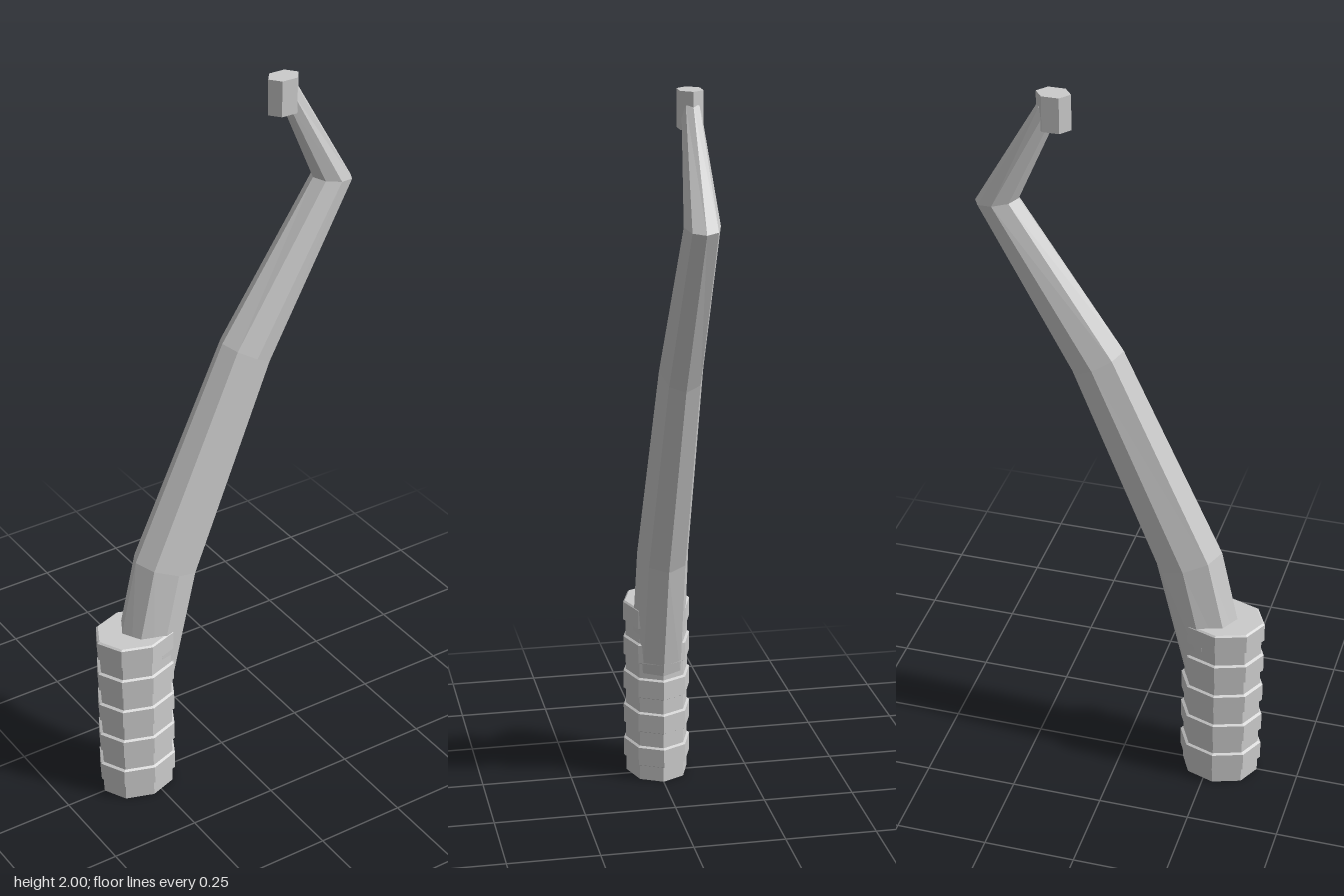
import * as THREE from 'three';

const material = new THREE.MeshStandardMaterial({ color: 0xcccccc, flatShading: true });

function addPart(group, name, geometry) {
  const mesh = new THREE.Mesh(geometry, material);
  mesh.name = name;
  group.add(mesh);
  return mesh;
}

// Closed eight-sided tube through elliptical sections { x, y, hx, hy, rz }:
// (hx, hy) is the half-axis in the xy plane, rz the half-axis along z.
function loft(sections, sides = 8) {
  const positions = [];
  const index = [];
  for (const s of sections) {
    for (let j = 0; j < sides; j++) {
      const a = (j / sides) * Math.PI * 2;
      positions.push(s.x + s.hx * Math.cos(a), s.y + s.hy * Math.cos(a), s.rz * Math.sin(a));
    }
  }
  for (let i = 0; i < sections.length - 1; i++) {
    for (let j = 0; j < sides; j++) {
      const a = i * sides + j;
      const b = i * sides + ((j + 1) % sides);
      index.push(a, a + sides, b + sides, a, b + sides, b);
    }
  }
  const top = (sections.length - 1) * sides;
  for (let j = 1; j < sides - 1; j++) {
    index.push(0, j, j + 1, top, top + j + 1, top + j);
  }
  const geometry = new THREE.BufferGeometry();
  geometry.setAttribute('position', new THREE.Float32BufferAttribute(positions, 3));
  geometry.setIndex(index);
  geometry.computeVertexNormals();
  return geometry;
}

export function createModel() {
  const group = new THREE.Group();
  group.name = 'bowLimb';

  // Grip wrapped in alternating narrow and wide bands
  const bands = 5;
  const pitch = 0.51 / bands;
  const profile = [new THREE.Vector2(0, 0)];
  for (let i = 0; i < bands; i++) {
    const y = i * pitch;
    profile.push(
      new THREE.Vector2(0.107, y),
      new THREE.Vector2(0.107, y + 0.042),
      new THREE.Vector2(0.115, y + 0.046),
      new THREE.Vector2(0.115, y + pitch - 0.004)
    );
  }
  profile.push(new THREE.Vector2(0.109, 0.51), new THREE.Vector2(0, 0.51));
  const grip = addPart(group, 'grip', new THREE.LatheGeometry(profile, 8));
  grip.scale.z = 0.815;
  grip.position.x = -0.278;

  // Curved limb, tapering to the elbow and bending back to the tip
  addPart(group, 'limb', loft([
    { x: -0.265, y: 0.32, hx: 0.092, hy: -0.01, rz: 0.075 },
    { x: -0.18, y: 0.685, hx: 0.09, hy: -0.035, rz: 0.071 },
    { x: 0.072, y: 1.26, hx: 0.07, hy: -0.04, rz: 0.058 },
    { x: 0.333, y: 1.69, hx: 0.058, hy: -0.01, rz: 0.046 },
    { x: 0.195, y: 1.955, hx: 0.026, hy: 0.014, rz: 0.024 }
  ]));

  // Hexagonal nock at the tip
  const nock = new THREE.CylinderGeometry(0.045, 0.045, 0.095, 6);
  nock.rotateY(Math.PI / 2);
  nock.scale(1, 1, 0.75);
  addPart(group, 'tipNock', nock).position.set(0.18, 1.9525, 0);

  return group;
}
